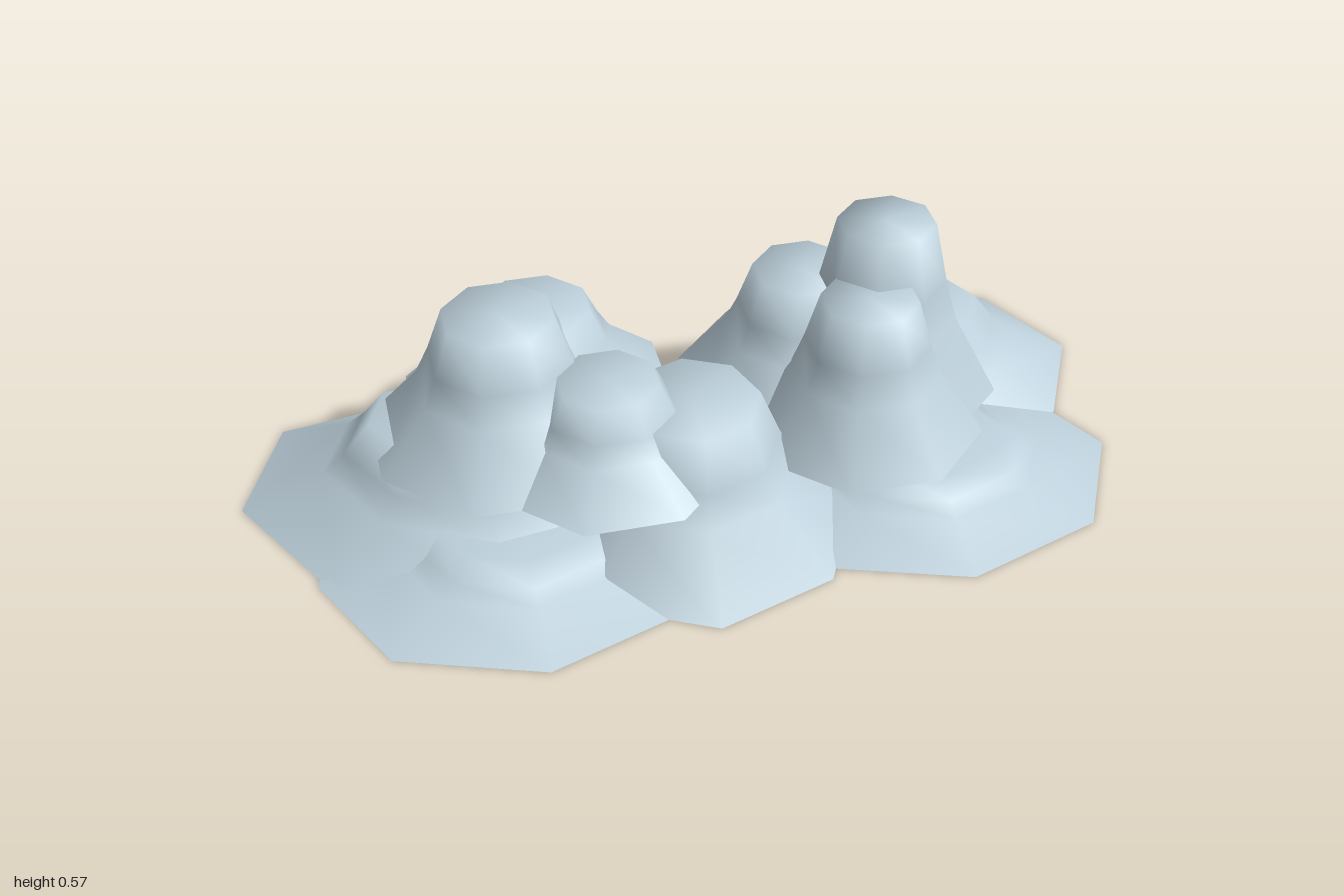
import * as THREE from 'three';

const rad = THREE.MathUtils.degToRad;
const SIDES = 8;

// Flared mound profile, unit radius and height, closed at the top
const PROFILE = [[1, 0], [0.62, 0.44], [0.52, 0.66], [0.4, 1], [0, 1]]
  .map(([r, y]) => new THREE.Vector2(r, y));
const UNDERSIDE = [new THREE.Vector2(0, 0), new THREE.Vector2(1, 0)];

// name, centre x, base y, centre z, radius x, radius z, top y, spin of the corners, yaw of the ellipse
const MOUNDS = [
  // wide foot mounds on the ground
  ['backLeftFoot', 0.585, 0, -0.235, 0.41, 0.34, 0.19, 0, 0],
  ['frontLeftFoot', 0.5, 0, 0.14, 0.44, 0.36, 0.105, 0, 0],
  ['frontRightFoot', -0.425, 0, 0.2, 0.435, 0.365, 0.105, 0, 0],
  ['backRightFoot', -0.51, 0, 0.02, 0.536, 0.366, 0.235, 15.6, 32.6],
  ['middleMound', -0.035, 0, 0.16, 0.365, 0.365, 0.318, 4, 0],
  // left cluster of peaks
  ['tallLeftPeak', 0.44, 0.145, -0.03, 0.27, 0.255, 0.575, 22.5, 0],
  ['frontLeftPeak', 0.367, 0.145, 0.1, 0.265, 0.262, 0.472, 22.5, 0],
  ['backLeftPeak', 0.28, 0.145, -0.11, 0.28, 0.28, 0.425, 22.5, 0],
  // right cluster of peaks
  ['tallRightPeak', -0.415, 0.19, 0, 0.305, 0.305, 0.49, 22.5, 0],
  ['frontRightPeak', -0.212, 0.19, 0.14, 0.275, 0.27, 0.385, 22.5, 0],
  ['backRightPeak', -0.32, 0.19, -0.115, 0.307, 0.307, 0.415, 22.5, 0],
];

export function createModel() {
  const model = new THREE.Group();
  model.name = 'rockMounds';
  const stone = new THREE.MeshStandardMaterial({ color: 0xbdd0db });
  stone.name = 'paleBlueStone';

  for (const [name, x, y, z, rx, rz, top, spin, yaw] of MOUNDS) {
    const mound = new THREE.Group();
    mound.name = name;
    for (const [part, points] of [['slope', PROFILE], ['underside', UNDERSIDE]]) {
      const mesh = new THREE.Mesh(new THREE.LatheGeometry(points, SIDES, -rad(spin)), stone);
      mesh.name = part;
      mound.add(mesh);
    }
    mound.scale.set(rx, top - y, rz);
    mound.rotation.y = -rad(yaw);
    mound.position.set(x, y, z);
    model.add(mound);
  }
  return model;
}
